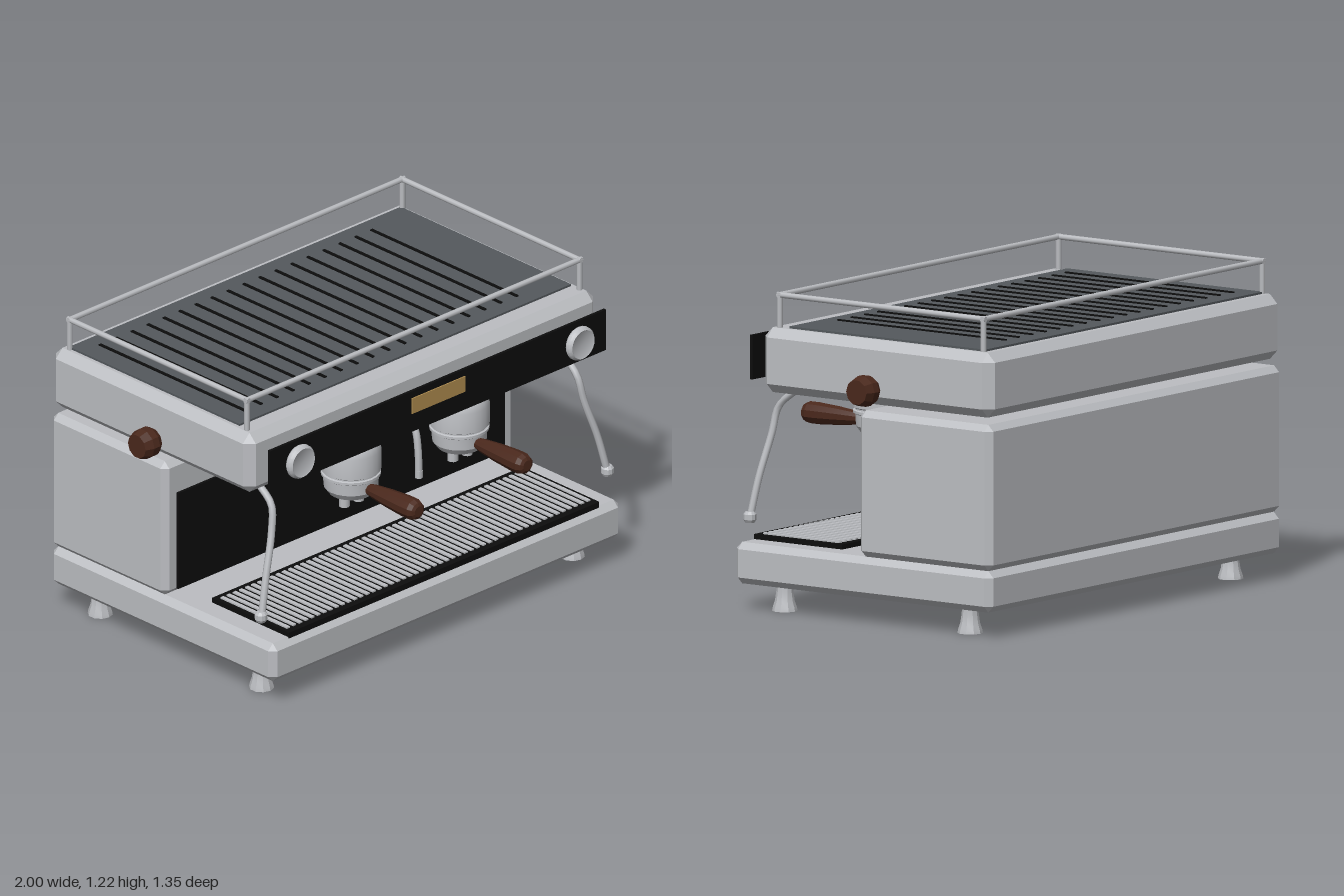
import * as THREE from 'three';
import { toCreasedNormals } from 'three/addons/utils/BufferGeometryUtils.js';
import { ConvexGeometry } from 'three/addons/geometries/ConvexGeometry.js';

const material = (name, color) => {
  const m = new THREE.MeshStandardMaterial({ color });
  m.name = name;
  return m;
};

export function createModel() {
  const root = new THREE.Group();
  root.name = 'espressoMachine';
  const steel = material('steel', 0xbcbec2);
  const black = material('black', 0x0d0d0d);
  const slate = material('slate', 0x54595d);
  const wood = material('wood', 0x4a281c);
  const brass = material('brass', 0xb08d4f);

  const add = (name, geometry, mat, x = 0, y = 0, z = 0, parent = root) => {
    const mesh = new THREE.Mesh(geometry, mat);
    mesh.name = name;
    mesh.position.set(x, y, z);
    parent.add(mesh);
    return mesh;
  };

  // Box given by its limits
  const box = (name, mat, x0, x1, y0, y1, z0, z1) =>
    add(name, new THREE.BoxGeometry(x1 - x0, y1 - y0, z1 - z0), mat,
      (x0 + x1) / 2, (y0 + y1) / 2, (z0 + z1) / 2);

  // Box with every edge cut at 45 degrees
  const chamferBox = (name, w, y0, y1, z0, z1, c) => {
    const a = w / 2, b = (y1 - y0) / 2, d = (z1 - z0) / 2, points = [];
    for (const i of [-1, 1]) for (const j of [-1, 1]) for (const k of [-1, 1]) {
      points.push(
        new THREE.Vector3(i * a, j * (b - c), k * (d - c)),
        new THREE.Vector3(i * (a - c), j * b, k * (d - c)),
        new THREE.Vector3(i * (a - c), j * (b - c), k * d));
    }
    add(name, new ConvexGeometry(points), steel, 0, (y0 + y1) / 2, (z0 + z1) / 2);
  };

  // Turned part from [radius, height] pairs listed bottom to top
  const turned = (profile, sides, crease) => toCreasedNormals(
    new THREE.LatheGeometry(profile.map(([r, h]) => new THREE.Vector2(r, h)), sides), crease);

  const tube = (points, radius) => new THREE.TubeGeometry(
    new THREE.CatmullRomCurve3(points.map((p) => new THREE.Vector3(...p))), 20, radius, 8);

  // Main housings
  chamferBox('base', 1.828, 0.1, 0.258, -0.673, 0.537, 0.025);
  chamferBox('rearBody', 1.828, 0.258, 0.815, -0.673, -0.048, 0.024);
  chamferBox('upperHousing', 1.828, 0.84, 1.087, -0.673, 0.41, 0.035);
  box('backsplash', black, -0.853, 0.853, 0.28, 0.68, -0.049, -0.037);

  // Cup warmer with slots
  box('cupTray', slate, -0.865, 0.865, 1.08, 1.095, -0.615, 0.307);
  for (let i = 0; i < 18; i++) {
    const x = -0.773 + i * 0.0834;
    box('cupTraySlot', black, x - 0.006, x + 0.006, 1.093, 1.1, -0.546, 0.245);
  }

  // Cup rail
  const railX = 0.868, railY = 1.211, railFront = 0.35, railBack = -0.61, r = 0.011;
  for (const z of [railFront, railBack]) {
    add('cupRail', new THREE.CylinderGeometry(r, r, 2 * railX + 0.02, 8), steel, 0, railY, z)
      .rotation.z = Math.PI / 2;
    for (const x of [-railX, railX]) {
      add('railPost', new THREE.CylinderGeometry(r, r, 0.14, 8), steel, x, 1.147, z);
    }
  }
  for (const x of [-railX, railX]) {
    add('cupRailSide', new THREE.CylinderGeometry(r, r, railFront - railBack + 0.02, 8), steel,
      x, railY, (railFront + railBack) / 2).rotation.x = Math.PI / 2;
  }

  // Control panel with badge plate
  box('controlPanel', black, -0.877, 0.877, 0.878, 1.047, 0.472, 0.484);
  box('badgePlate', brass, -0.139, 0.139, 0.955, 1.019, 0.483, 0.489);

  // Drip tray with slats
  box('dripTray', black, -0.81, 0.81, 0.25, 0.277, 0.1, 0.517);
  for (let i = 0; i < 50; i++) {
    const x = (i - 24.5) * 0.032;
    box('dripSlat', steel, x - 0.008, x + 0.008, 0.275, 0.283, 0.127, 0.488);
  }

  // Hot water spout
  const spout = tube([[0, 0.85, 0.32], [0, 0.8, 0.36], [0, 0.72, 0.376], [0, 0.61, 0.38]], 0.014);
  add('waterSpout', spout, steel);
  add('waterSpoutTip', new THREE.CylinderGeometry(0.015, 0.015, 0.03, 8), steel, 0, 0.62, 0.38);

  const gaugeGeo = turned([[0, 0], [0.062, 0], [0.068, 0.01], [0.067, 0.022], [0.058, 0.033],
    [0.052, 0.03], [0, 0.03]], 24, 0.6);
  const headGeo = turned([[0, 0.62], [0.085, 0.62], [0.103, 0.645], [0.106, 0.69], [0.114, 0.695],
    [0.114, 0.705], [0.107, 0.708], [0.107, 0.713], [0.115, 0.718], [0.115, 0.8], [0.108, 0.825],
    [0.098, 0.84], [0, 0.84]], 24, 0.5);
  const handleGeo = turned([[0, 0], [0.021, 0], [0.027, 0.03], [0.036, 0.11], [0.042, 0.2],
    [0.042, 0.245], [0.034, 0.265], [0.022, 0.272], [0, 0.272]], 10, 0.3);
  const knobGeo = turned([[0, 0], [0.046, 0], [0.06, 0.025], [0.06, 0.055], [0.048, 0.09],
    [0, 0.09]], 10, 0.3);
  const footGeo = turned([[0, 0], [0.048, 0], [0.046, 0.012], [0.037, 0.04], [0.032, 0.075],
    [0.031, 0.104], [0, 0.104]], 10, 0.3);

  // Parts repeated on the left and right
  for (const s of [-1, 1]) {
    add('gauge', gaugeGeo, steel, s * 0.73, 0.96, 0.482).rotation.x = Math.PI / 2;
    add('sideKnob', knobGeo, wood, s * 0.91, 0.9, -0.11).rotation.z = -s * Math.PI / 2;

    // Brewing group with handle and twin spouts
    const group = new THREE.Group();
    group.name = 'brewGroup';
    group.position.set(s * 0.283, 0, 0.306);
    root.add(group);
    add('groupHead', headGeo, steel, 0, 0, 0, group);
    add('handle', handleGeo, wood, 0, 0.661, 0.097, group).rotation.x = Math.PI / 2;
    for (const k of [-1, 1]) {
      add('coffeeSpout', new THREE.CylinderGeometry(0.021, 0.021, 0.06, 10), steel,
        k * 0.037, 0.6, 0.003, group);
    }

    // Steam wand
    add('steamWand', tube([[s * 0.795, 0.85, 0.31], [s * 0.797, 0.825, 0.35],
      [s * 0.798, 0.77, 0.41], [s * 0.815, 0.67, 0.428], [s * 0.865, 0.51, 0.45],
      [s * 0.9, 0.365, 0.464]], 0.014), steel);
    add('wandTip', turned([[0, -0.02], [0.018, -0.02], [0.025, -0.008], [0.025, 0.012],
      [0.017, 0.022], [0, 0.022]], 10, 0.3), steel, s * 0.904, 0.358, 0.464);

    for (const z of [0.37, -0.504]) add('foot', footGeo, steel, s * 0.811, 0, z);
  }
  return root;
}
